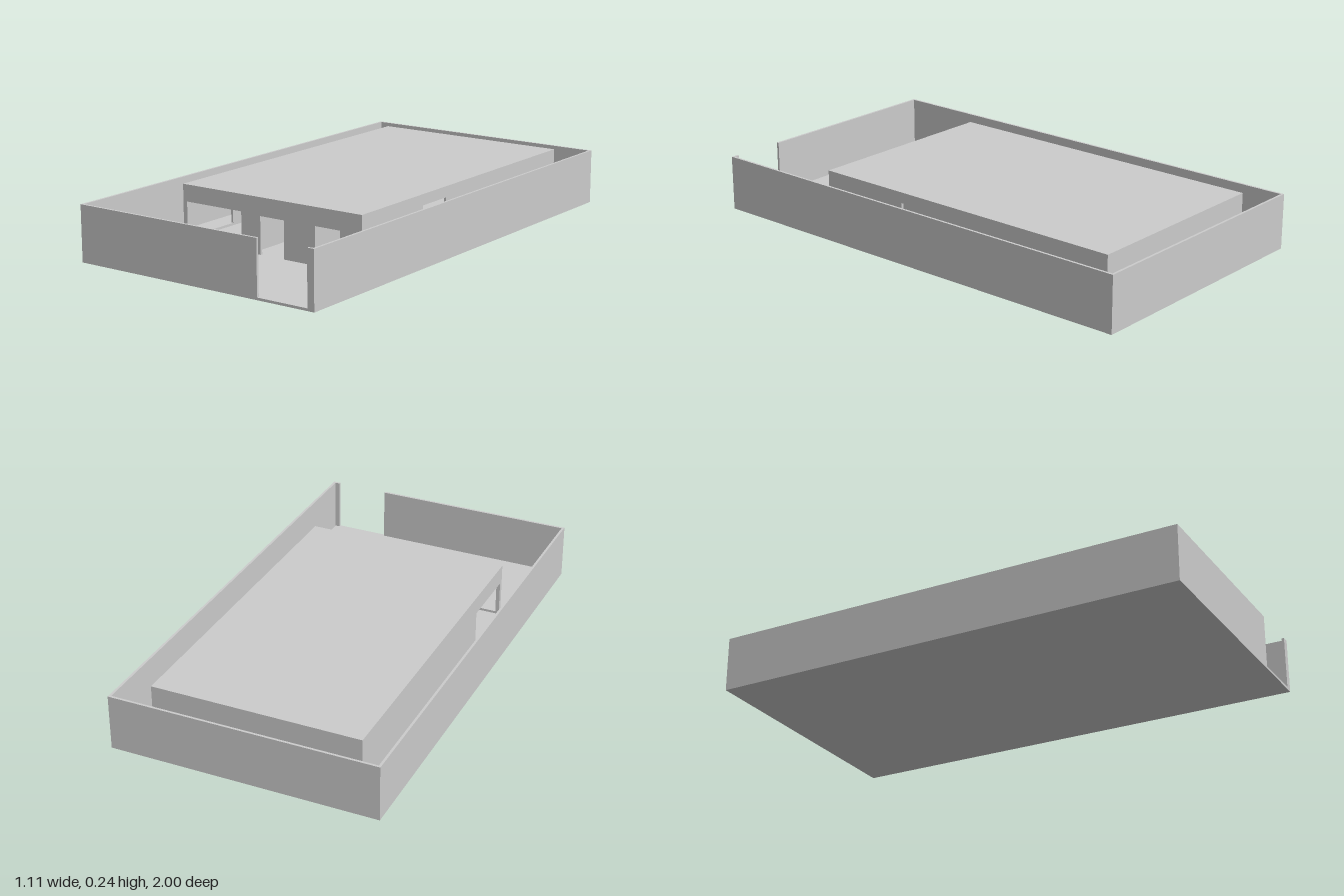
import * as THREE from 'three';

const FLOOR = 0.01, TOP = 0.23, T = 0.01;
const material = new THREE.MeshStandardMaterial({ color: 0xcccccc, flatShading: true });

// Box given by its min and max corners
function block(name, x0, x1, y0, y1, z0, z1) {
  const mesh = new THREE.Mesh(new THREE.BoxGeometry(x1 - x0, y1 - y0, z1 - z0), material);
  mesh.name = name;
  mesh.position.set((x0 + x1) / 2, (y0 + y1) / 2, (z0 + z1) / 2);
  return mesh;
}

// Upright wall from u0 to u1; openings are [u0, u1, y0, y1], floor-level ones notch the outline
function wall(name, u0, u1, openings) {
  const shape = new THREE.Shape();
  shape.moveTo(u0, FLOOR);
  for (const [a, b, y0, y1] of openings) {
    if (y0 <= FLOOR) {
      shape.lineTo(a, FLOOR);
      shape.lineTo(a, y1);
      shape.lineTo(b, y1);
      shape.lineTo(b, FLOOR);
    } else {
      const hole = new THREE.Path();
      hole.moveTo(a, y0);
      hole.lineTo(a, y1);
      hole.lineTo(b, y1);
      hole.lineTo(b, y0);
      hole.closePath();
      shape.holes.push(hole);
    }
  }
  shape.lineTo(u1, FLOOR);
  shape.lineTo(u1, TOP);
  shape.lineTo(u0, TOP);
  shape.closePath();
  const geometry = new THREE.ExtrudeGeometry(shape, { depth: T, bevelEnabled: false });
  const mesh = new THREE.Mesh(geometry, material);
  mesh.name = name;
  return mesh;
}

// Wall running along z, its u axis pointing to -z, outer or inner face starting at x
function sideWall(name, x, z0, z1, openings) {
  const flipped = openings.map(([a, b, y0, y1]) => [-b, -a, y0, y1]);
  const mesh = wall(name, -z1, -z0, flipped);
  mesh.rotation.y = Math.PI / 2;
  mesh.position.x = x;
  return mesh;
}

export function createModel() {
  const model = new THREE.Group();
  model.name = 'walledHouse';

  // Plot and its boundary wall with the gate gap
  const W = 0.555, D = 1;
  const yard = new THREE.Group();
  yard.name = 'yard';
  yard.add(
    block('ground', -W, W, 0, FLOOR, -D, D),
    block('boundaryLeft', W - T, W, FLOOR, TOP, -D, D),
    block('boundaryRight', -W, -W + T, FLOOR, TOP, -D, D),
    block('boundaryBack', -W + T, W - T, FLOOR, TOP, -D, -D + T),
    block('boundaryFront', -W + T, 0.3, FLOOR, TOP, D - T, D),
    block('gatePost', 0.525, W - T, FLOOR, TOP, D - T, D)
  );
  model.add(yard);

  // House shell
  const H = 0.435, BACK = -0.885, FRONT = 0.545;
  const house = new THREE.Group();
  house.name = 'house';
  const front = wall('frontWall', -H, H, [
    [-0.416, -0.14, 0.02, 0.17],   // wide opening
    [-0.046, 0.069, FLOOR, 0.165], // door
    [0.217, 0.335, 0.05, 0.165]    // window
  ]);
  front.position.z = FRONT - T;
  const back = wall('backWall', -H, H, []);
  back.position.z = BACK;
  house.add(
    front,
    back,
    sideWall('leftWall', H - T, BACK + T, FRONT - T, [
      [-0.028, 0.136, 0.09, 0.195],
      [0.395, 0.52, 0.05, 0.165]
    ]),
    sideWall('rightWall', -H, BACK + T, FRONT - T, [[0.25, 0.526, 0.02, 0.165]]),
    block('roof', -H, H, TOP, TOP + T, BACK, FRONT)
  );

  // Inner partitions
  for (const x of [-0.1, 0.115]) house.add(sideWall('partition', x, 0, FRONT - T, []));
  model.add(house);
  return model;
}
